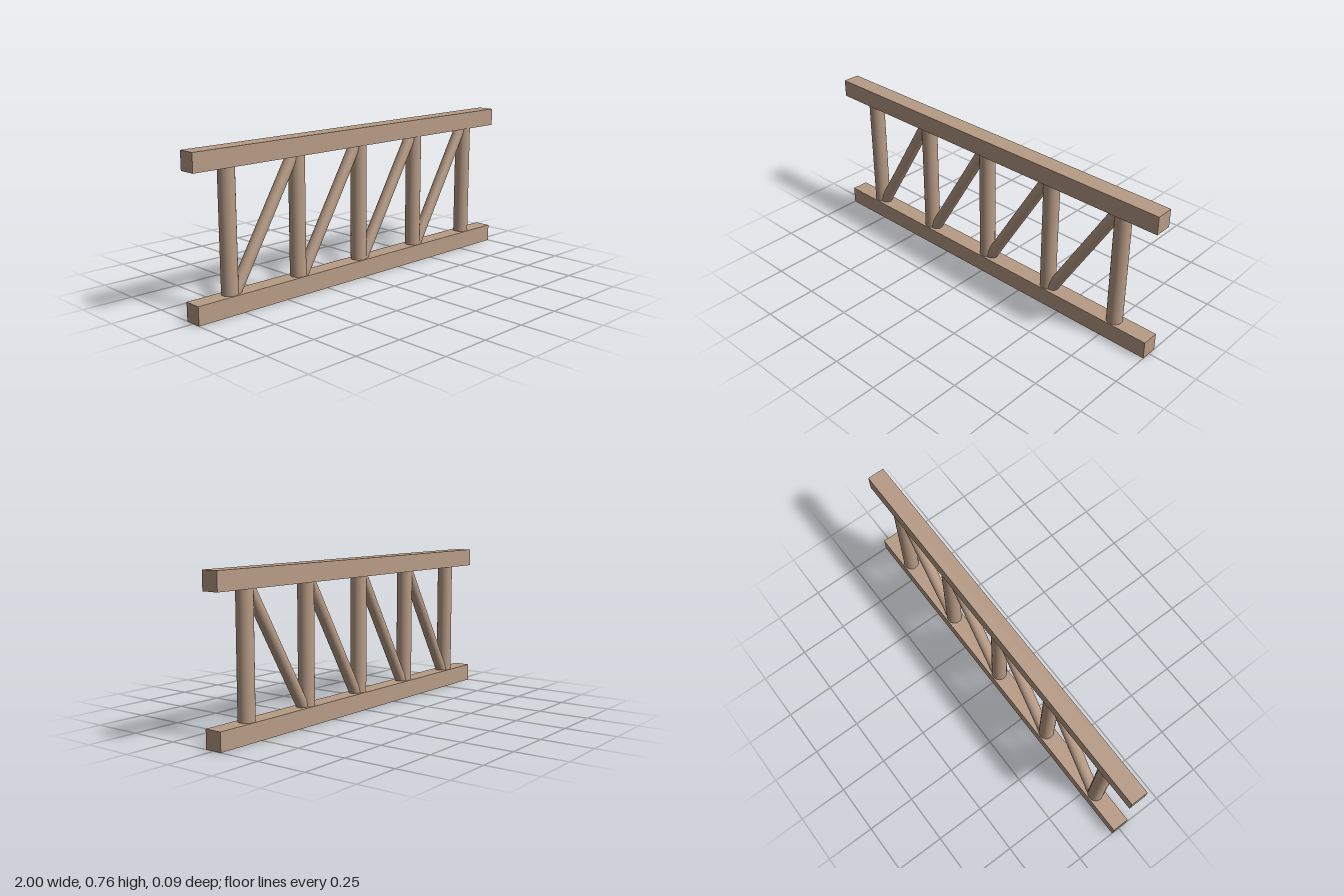
import * as THREE from 'three';

export function createModel() {
  const group = new THREE.Group();
  const wood = new THREE.MeshStandardMaterial({ color: 0xb89c86 });
  const height = 0.756, beam = 0.089, depth = 0.087;
  const low = beam / 2, high = height - beam / 2;

  function add(name, geometry, x, y) {
    const mesh = new THREE.Mesh(geometry, wood);
    mesh.name = name;
    mesh.position.set(x, y, 0);
    group.add(mesh);
    return mesh;
  }

  // Round member between two points in the plane of the truss
  function strut(name, x0, x1, radius) {
    const dx = x1 - x0, dy = high - low;
    const geometry = new THREE.CylinderGeometry(radius, radius, Math.hypot(dx, dy), 32);
    add(name, geometry, (x0 + x1) / 2, (low + high) / 2).rotation.z = -Math.atan2(dx, dy);
  }

  // Square top and bottom beams
  add('bottomBeam', new THREE.BoxGeometry(2, beam, depth), 0, low);
  add('topBeam', new THREE.BoxGeometry(2, beam, depth), 0, high);

  // Five posts, with a brace rising to the next post in each bay
  for (let i = 0; i < 5; i++) {
    const x = -0.8 + 0.4 * i;
    strut('post', x, x, 0.039);
    if (i < 4) strut('diagonalBrace', x, x + 0.4, 0.029);
  }
  return group;
}
